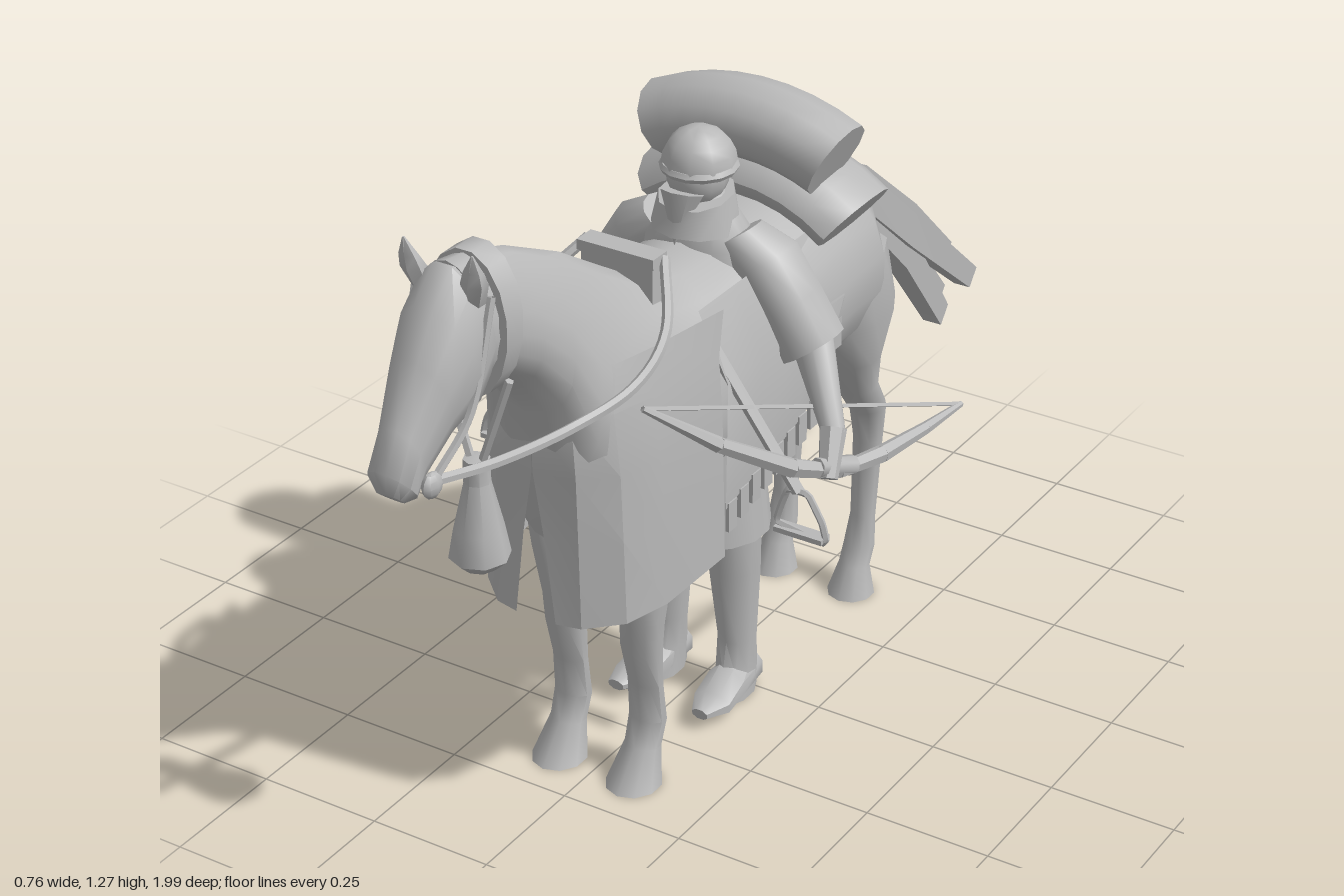
import * as THREE from 'three';
import { toCreasedNormals } from 'three/addons/utils/BufferGeometryUtils.js';

const V = (x, y, z) => new THREE.Vector3(x, y, z);

export function createModel() {
  const root = new THREE.Group();
  const grey = new THREE.MeshStandardMaterial({ color: 0xb8b8b8, side: THREE.DoubleSide });
  grey.name = 'plain grey';

  const add = (name, geo, crease = 0.8) => {
    const m = new THREE.Mesh(toCreasedNormals(geo, crease), grey);
    m.name = name;
    root.add(m);
    return m;
  };

  // Skin closed rings of points, cap both ends and face the surface outwards
  function skin(rings) {
    const n = rings[0].length, pos = [], idx = [];
    rings.forEach(r => r.forEach(p => pos.push(p.x, p.y, p.z)));
    for (let i = 0; i < rings.length - 1; i++)
      for (let j = 0; j < n; j++) {
        const a = i * n + j, b = i * n + (j + 1) % n;
        idx.push(a, b, a + n, b, b + n, a + n);
      }
    const last = (rings.length - 1) * n;
    for (let j = 1; j < n - 1; j++) idx.push(0, j + 1, j, last, last + j, last + j + 1);
    let vol = 0;
    const P = k => V(pos[k * 3], pos[k * 3 + 1], pos[k * 3 + 2]);
    for (let k = 0; k < idx.length; k += 3) vol += P(idx[k]).dot(P(idx[k + 1]).cross(P(idx[k + 2])));
    if (vol < 0) idx.reverse();
    const g = new THREE.BufferGeometry();
    g.setAttribute('position', new THREE.Float32BufferAttribute(pos, 3));
    g.setIndex(idx);
    return g;
  }

  // Section: [z1, y1, z2, y2, halfWidth, centreX, narrowing towards point 1]
  function loft(sections, n = 14) {
    return skin(sections.map(([z1, y1, z2, y2, w, x = 0, k = 0]) =>
      Array.from({ length: n }, (_, j) => {
        const t = (j + 0.5) / n * Math.PI * 2, s = Math.sin(t) / 2;
        return V(x + w * Math.cos(t) * (1 - k * 2 * s), (y1 + y2) / 2 + (y1 - y2) * s, (z1 + z2) / 2 + (z1 - z2) * s);
      })));
  }

  // Open sheet from rows of points
  function sheet(rows) {
    const g = new THREE.BufferGeometry(), n = rows[0].length, idx = [];
    g.setAttribute('position', new THREE.Float32BufferAttribute(rows.flat().flatMap(p => [p.x, p.y, p.z]), 3));
    for (let i = 0; i < rows.length - 1; i++)
      for (let j = 0; j < n - 1; j++) {
        const a = i * n + j;
        idx.push(a, a + 1, a + n, a + 1, a + n + 1, a + n);
      }
    g.setIndex(idx);
    return g;
  }

  const tube = (pts, r, closed = false, sides = 6) => new THREE.TubeGeometry(
    new THREE.CatmullRomCurve3(pts, closed, 'catmullrom', closed ? 0.1 : 0.5), pts.length * 6, r, sides, closed);

  // Tapered round bar between two points
  function bar(a, b, ra, rb, sides = 10) {
    const d = b.clone().sub(a), g = new THREE.CylinderGeometry(rb, ra, d.length(), sides);
    g.applyQuaternion(new THREE.Quaternion().setFromUnitVectors(V(0, 1, 0), d.clone().normalize()));
    return g.translate((a.x + b.x) / 2, (a.y + b.y) / 2, (a.z + b.z) / 2);
  }

  // Horse body, neck and head
  add('horseBody', loft([
    [-0.44, 0.90, -0.455, 0.70, 0.05], [-0.42, 0.93, -0.445, 0.62, 0.12], [-0.35, 0.965, -0.36, 0.56, 0.175],
    [-0.22, 0.99, -0.22, 0.58, 0.195], [0, 0.97, -0.02, 0.56, 0.19], [0.18, 0.97, 0.16, 0.53, 0.18, 0, 0.08],
    [0.30, 1.0, 0.32, 0.48, 0.165, 0, 0.2], [0.41, 1.07, 0.48, 0.52, 0.145, 0, 0.35], [0.48, 1.115, 0.56, 0.70, 0.115, 0, 0.35],
    [0.55, 1.15, 0.585, 0.85, 0.09, 0, 0.3], [0.64, 1.195, 0.65, 0.94, 0.08, 0, 0.3], [0.73, 1.225, 0.72, 0.99, 0.072, 0, 0.2],
    [0.80, 1.235, 0.77, 0.99, 0.068]], 18));
  add('horseHead', loft([
    [0.72, 1.21, 0.70, 1.02, 0.05], [0.81, 1.235, 0.75, 0.985, 0.075], [0.865, 1.18, 0.79, 0.965, 0.082, 0, 0.1],
    [0.91, 1.10, 0.85, 0.935, 0.064], [0.965, 1.0, 0.91, 0.885, 0.045], [1.0, 0.935, 0.935, 0.86, 0.045],
    [0.995, 0.895, 0.955, 0.86, 0.025]], 12));

  // Tail of overlapping locks: x, rise, end z, end y, half width
  [[0, 0.02, -0.90, 0.54, 0.034], [0.022, -0.01, -0.985, 0.45, 0.026], [-0.022, -0.03, -0.93, 0.42, 0.026], [0.005, -0.06, -0.89, 0.40, 0.03]]
    .forEach(([x, dy, z, y, w]) => add('tailLock', loft([
      [-0.36, 0.965, -0.40, 0.90, 0.03], [-0.55, 0.875 + dy / 2, -0.50, 0.80 + dy / 2, w, x / 2],
      [-0.75, 0.70 + dy, -0.70, 0.63 + dy, w + 0.006, x], [z - 0.015, y + 0.02, z + 0.025, y - 0.03, w, x]], 4)));

  for (const s of [1, -1]) {
    const side = s > 0 ? 'left' : 'right';
    // Legs
    add(side + 'HindLeg', loft([
      [-0.22, 0.80, -0.44, 0.80, 0.07, 0.10 * s], [-0.24, 0.66, -0.455, 0.68, 0.075, 0.11 * s],
      [-0.30, 0.56, -0.42, 0.57, 0.055, 0.105 * s], [-0.345, 0.48, -0.43, 0.49, 0.042, 0.10 * s],
      [-0.40, 0.41, -0.485, 0.41, 0.036, 0.095 * s], [-0.425, 0.33, -0.485, 0.33, 0.03, 0.09 * s],
      [-0.42, 0.16, -0.465, 0.16, 0.026, 0.09 * s], [-0.40, 0.09, -0.46, 0.10, 0.032, 0.09 * s],
      [-0.385, 0.06, -0.44, 0.06, 0.032, 0.09 * s], [-0.35, 0, -0.45, 0, 0.048, 0.09 * s]], 10));
    add(side + 'ForeLeg', loft([
      [0.45, 0.66, 0.26, 0.66, 0.06, 0.10 * s], [0.425, 0.46, 0.295, 0.46, 0.052, 0.09 * s],
      [0.40, 0.34, 0.325, 0.34, 0.044, 0.085 * s], [0.395, 0.28, 0.33, 0.28, 0.042, 0.083 * s],
      [0.375, 0.2, 0.325, 0.2, 0.036, 0.083 * s], [0.37, 0.12, 0.315, 0.12, 0.038, 0.083 * s],
      [0.39, 0.07, 0.33, 0.07, 0.036, 0.083 * s], [0.45, 0, 0.335, 0, 0.053, 0.083 * s]], 10));

    // Ears and bit rings
    add(side + 'Ear', loft([[0.81, 1.165, 0.77, 1.165, 0.016, 0.05 * s], [0.825, 1.21, 0.785, 1.21, 0.025, 0.06 * s],
      [0.825, 1.235, 0.80, 1.235, 0.019, 0.064 * s], [0.822, 1.268, 0.817, 1.268, 0.002, 0.068 * s]], 6));
    add(side + 'BitRing', new THREE.SphereGeometry(0.024, 8, 6).scale(0.6, 1, 1)).position.set(0.052 * s, 0.895, 0.93);

    // Reins and bridle strap
    add(side + 'Rein', tube([V(0.05 * s, 0.9, 0.93), V(0.08 * s, 0.875, 0.78), V(0.105 * s, 0.86, 0.6),
      V(0.145 * s, 0.89, 0.47), V(0.145 * s, 0.95, 0.37), V(0.08 * s, 1.035, 0.27)], 0.01));
    add(side + 'BridleStrap', tube([V(0.05 * s, 0.9, 0.92), V(0.072 * s, 1.0, 0.84), V(0.075 * s, 1.18, 0.78)], 0.008));

    // Chest cloth, split at the front
    add(side + 'ChestCloth', sheet([[0.43, 1, 0.042], [0.6, 0.97, 0.022], [0.73, 0.94, 0.001], [0.85, 0.86, 0], [0.93, 0.76, 0]]
      .map(([y, k, gap], i) => [[gap, 0.575], [0.09 * k, 0.565], [0.15 * k, 0.51], [0.178 * k, 0.42], [0.186 * (k + 1) / 2, 0.24]]
        .map(([x, z]) => V(x * s, y + (i ? 0 : (0.57 - z) * 0.04), i > 3 ? z - 0.03 : z)))), 0.5);

    // Saddle cloth with hanging tabs
    const edge = z => 0.6 + 0.06 * Math.max(0, -z) / 0.17 - 0.12 * Math.max(0, z) / 0.5 + (z < -0.08 ? 0.1 : 0);
    const zs = [0.24, 0.12, 0.0, -0.08, -0.17];
    add(side + 'SaddleCloth', sheet([
      zs.map(z => V(0.13 * s, 0.93, z)), zs.map(z => V(0.192 * s, 0.8, z)), zs.map(z => V(0.188 * s, edge(z), z))]), 0.5);
    for (let i = 0; i < 10; i++) {
      const z = 0.22 - i * 0.041;
      add(side + 'FringeTab', new THREE.BoxGeometry(0.008, 0.06, 0.028)).position.set(0.187 * s, edge(z) - 0.025, z);
    }

    // Stirrup and its leather
    add(side + 'StirrupLeather', bar(V(0.14 * s, 0.88, 0.23), V(0.315 * s, 0.6, 0.2), 0.013, 0.013, 4));
    add(side + 'Stirrup', tube([[0.295, 0.6], [0.335, 0.6], [0.365, 0.55], [0.374, 0.51], [0.272, 0.525], [0.28, 0.56]]
      .map(([x, y]) => V(x * s, y, 0.2)), 0.007, true, 5));
    add(side + 'StirrupTread', new THREE.BoxGeometry(0.1, 0.01, 0.03)).position.set(0.322 * s, 0.517, 0.2);

    // Rider's sleeve, forearm and hand
    add(side + 'Sleeve', skin([[0.08, 0.98, 0.02, 0.05], [0.13, 0.935, 0.01, 0.07], [0.18, 0.86, 0.005, 0.068], [0.225, 0.78, 0.0, 0.07]]
      .map(([x, y, z, r]) => Array.from({ length: 12 }, (_, j) => {
        const t = j / 12 * Math.PI * 2;
        return V((x + r * 0.72 * Math.cos(t)) * s, y + r * 0.5 * Math.cos(t), z + r * Math.sin(t));
      }))));
    add(side + 'Forearm', bar(V(0.22 * s, 0.8, 0.0), V(0.318 * s, 0.66, 0.08), 0.042, 0.022));
    add(side + 'Hand', bar(V(0.312 * s, 0.67, 0.075), V(0.333 * s, 0.595, 0.125), 0.026, 0.018, 7));

    // Rider's leg and boot
    add(side + 'RiderLeg', loft([[0.09, 0.45, -0.03, 0.45, 0.055, 0.075 * s], [0.08, 0.28, -0.03, 0.28, 0.05, 0.075 * s],
      [0.06, 0.12, -0.02, 0.12, 0.038, 0.078 * s], [0.075, 0.06, -0.025, 0.05, 0.038, 0.08 * s],
      [0.10, 0.0, -0.025, 0, 0.038, 0.08 * s]], 10));
    add(side + 'Boot', loft([[-0.02, 0.07, -0.02, 0, 0.034, 0.08 * s], [0.07, 0.075, 0.07, 0, 0.042, 0.085 * s],
      [0.13, 0.05, 0.13, 0.005, 0.042, 0.09 * s], [0.185, 0.045, 0.18, 0.02, 0.018, 0.095 * s]], 8));
  }

  // Neck collar and hanging tassel
  add('neckCollar', loft([[0.75, 1.235, 0.755, 0.96, 0.085], [0.70, 1.235, 0.715, 0.96, 0.086]], 16));
  for (const s of [1, -1]) add('tasselCord', bar(V(0.07 * s, 1.0, 0.73), V(0.012 * s, 0.83, 0.735), 0.008, 0.008, 5));
  add('tassel', new THREE.LatheGeometry([[0, 0.62], [0.03, 0.622], [0.055, 0.645], [0.045, 0.70], [0.024, 0.79], [0.024, 0.835], [0, 0.84]]
    .map(([r, y]) => new THREE.Vector2(r, y)), 8)).position.z = 0.735;

  // Pommel
  add('pommel', new THREE.BoxGeometry(0.16, 0.02, 0.045)).position.set(0, 1.035, 0.285);
  add('pommelPost', new THREE.BoxGeometry(0.15, 0.09, 0.035)).position.set(0, 0.985, 0.285);

  // Rolled bedding, bent over the back
  const roll = (name, R, phi, top, z, r, rz) => add(name, skin(Array.from({ length: 9 }, (_, i) => {
    const p = phi * (i / 4 - 1);
    return Array.from({ length: 12 }, (_, j) => {
      const t = j / 12 * Math.PI * 2, q = R + r * Math.cos(t);
      return V(q * Math.sin(p), top - R + q * Math.cos(p), z + rz * Math.sin(t));
    });
  })));
  roll('upperBedroll', 0.42, 0.45, 1.125, -0.145, 0.075, 0.085);
  roll('lowerBedroll', 0.32, 0.66, 1.02, -0.19, 0.06, 0.11);

  // Rider's tunic, head, beard and cap
  add('tunic', loft([[0.18, 0.38, -0.075, 0.38, 0.155], [0.165, 0.55, -0.055, 0.55, 0.14], [0.12, 0.70, -0.06, 0.70, 0.12],
    [0.11, 0.85, -0.07, 0.85, 0.13], [0.10, 0.96, -0.05, 0.96, 0.115], [0.085, 1.02, -0.03, 1.02, 0.07],
    [0.06, 1.07, 0, 1.07, 0.04]], 16));
  add('collar', loft([[0.125, 0.99, -0.045, 0.98, 0.085], [0.115, 1.04, -0.035, 1.06, 0.07]], 10));
  add('riderHead', new THREE.SphereGeometry(0.058, 12, 10).scale(1, 1.2, 1.05)).position.set(0, 1.09, 0.035);
  add('beard', new THREE.ConeGeometry(0.042, 0.1, 8).rotateX(Math.PI - 0.3)).position.set(0, 1.02, 0.1);
  add('cap', new THREE.SphereGeometry(0.07, 10, 5, 0, Math.PI * 2, 0, Math.PI / 2)).position.set(0, 1.105, 0.03);
  add('capBand', new THREE.TorusGeometry(0.064, 0.01, 6, 14).rotateX(Math.PI / 2)).position.set(0, 1.1, 0.03);

  // Bow of tapering limbs, grip and string
  const bowPath = [[0.155, 0.845, 0.46, 0.006], [0.235, 0.74, 0.34, 0.015], [0.3, 0.645, 0.2, 0.019], [0.335, 0.595, 0.09, 0.014],
    [0.355, 0.578, -0.03, 0.017], [0.37, 0.57, -0.17, 0.012], [0.378, 0.565, -0.295, 0.006]];
  const at = i => V(...bowPath[i].slice(0, 3));
  for (let i = 0; i < 6; i++) add('bowLimb', bar(at(i), at(i + 1), bowPath[i][3], bowPath[i + 1][3], 6));
  add('bowGrip', bar(V(0.318, 0.62, 0.14), V(0.34, 0.59, 0.05), 0.019, 0.019, 8));
  add('bowString', bar(at(0), at(6), 0.005, 0.005, 4));

  return root;
}
